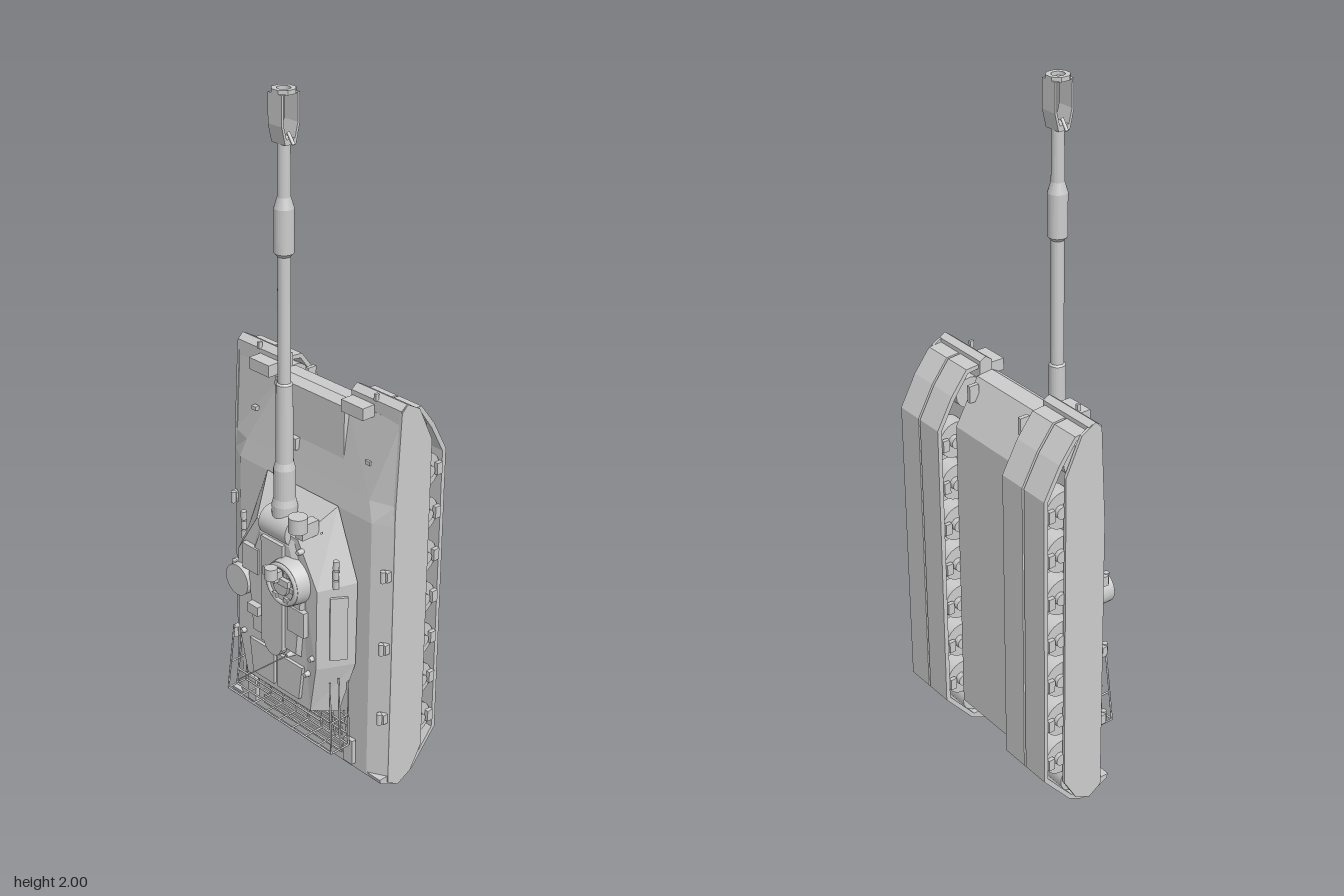
import * as THREE from 'three';

const mat = new THREE.MeshStandardMaterial({ color: 0xcccccc, side: THREE.DoubleSide });
const flat = new THREE.MeshStandardMaterial({ color: 0xcccccc, side: THREE.DoubleSide, flatShading: true });

export function createModel() {
  const root = new THREE.Group();
  const add = (name, geo, m = mat) => {
    const mesh = new THREE.Mesh(geo, m);
    mesh.name = name;
    root.add(mesh);
    return mesh;
  };
  const box = (name, x, y, z, w, h, d) => add(name, new THREE.BoxGeometry(w, h, d).translate(x, y, z));
  // Cylinder along the chosen axis
  const cyl = (name, axis, x, y, z, r0, r1, len, seg = 20) => {
    const g = new THREE.CylinderGeometry(r1, r0, len, seg);
    if (axis === 'x') g.rotateZ(-Math.PI / 2);
    if (axis === 'z') g.rotateX(Math.PI / 2);
    return add(name, g.translate(x, y, z));
  };
  // Round bar between two points
  const bar = (name, a, b, r = 0.003) =>
    add(name, new THREE.TubeGeometry(new THREE.LineCurve3(new THREE.Vector3(...a), new THREE.Vector3(...b)), 1, r, 6));
  const shapeOf = pts => new THREE.Shape(pts.map(p => new THREE.Vector2(...p)));
  // Profile of [z, y] points extruded across x
  const sideExtrude = (name, pts, x0, x1, hole) => {
    const s = shapeOf(pts);
    if (hole) s.holes.push(shapeOf(hole));
    const g = new THREE.ExtrudeGeometry(s, { depth: x1 - x0, bevelEnabled: false });
    return add(name, g.rotateY(-Math.PI / 2).translate(x1, 0, 0));
  };
  // Skin through matching convex rings, capped at both ends
  const loft = (name, rings) => {
    const n = rings[0].length, pos = rings.flat(2), idx = [];
    for (let k = 0; k + 1 < rings.length; k++)
      for (let i = 0; i < n; i++) {
        const a = k * n + i, b = k * n + (i + 1) % n;
        idx.push(a, b, b + n, a, b + n, a + n);
      }
    const e = (rings.length - 1) * n;
    for (let i = 1; i < n - 1; i++) idx.push(0, i + 1, i, e, e + i, e + i + 1);
    // keep faces outward, judged by signed volume
    const P = i => new THREE.Vector3().fromArray(pos, i * 3);
    let vol = 0;
    for (let i = 0; i < idx.length; i += 3) vol += P(idx[i]).dot(P(idx[i + 1]).cross(P(idx[i + 2])));
    if (vol < 0) idx.reverse();
    const g = new THREE.BufferGeometry();
    g.setAttribute('position', new THREE.Float32BufferAttribute(pos, 3));
    g.setIndex(idx);
    const out = g.toNonIndexed();
    out.computeVertexNormals();
    return add(name, out, flat);
  };
  const mirrorRing = half => [...half, ...half.map(([x, y, z]) => [-x, y, z]).reverse()];

  // Hull: belly between the tracks and wide upper body
  sideExtrude('lowerHull', [[-0.06, 0.04], [-0.06, 1.15], [-0.085, 1.165], [-0.135, 1.16], [-0.208, 1.03],
    [-0.208, 0.11], [-0.15, 0.04]], -0.138, 0.138);
  const deck = (y, top, zTop, zEdge) =>
    mirrorRing([[top, y, zTop], [0.325, y, zEdge], [0.325, y, -0.125], [0.1, y, -0.125]]);
  loft('upperHull', [deck(0.04, 0.27, -0.04, -0.07), deck(0.86, 0.27, -0.04, -0.07),
    deck(0.92, 0.25, -0.049, -0.073), deck(1.16, 0.12, -0.083, -0.086)]);

  for (const s of [-1, 1]) {
    const span = (name, pts, a, b, hole) => sideExtrude(name, pts, Math.min(s * a, s * b), Math.max(s * a, s * b), hole);
    // Mudguards and side skirt
    span('frontMudguard', [[-0.085, 1.15], [-0.085, 1.195], [-0.105, 1.21], [-0.125, 1.2], [-0.125, 1.15]], 0.138, 0.325);
    span('rearMudguard', [[-0.04, 0.05], [-0.045, 0.035], [-0.11, 0.004], [-0.125, 0.01], [-0.125, 0.05]], 0.132, 0.325);
    span('sideSkirt', [[-0.07, 0.03], [-0.07, 0.9], [-0.085, 1.19], [-0.105, 1.21], [-0.15, 1.185], [-0.2, 1.08],
      [-0.2, 0.1], [-0.16, 0.03], [-0.11, 0.004]], 0.319, 0.328);
    // Double track bands
    for (const [a, b] of [[0.145, 0.229], [0.236, 0.32]])
      span('track', [[-0.1, 0.02], [-0.1, 1.19], [-0.165, 1.185], [-0.215, 1.12], [-0.264, 1.03], [-0.264, 0.13],
        [-0.175, 0.025], [-0.125, 0.0]], a, b,
      [[-0.112, 0.032], [-0.112, 1.178], [-0.16, 1.172], [-0.205, 1.11], [-0.251, 1.026], [-0.251, 0.135], [-0.168, 0.036]]);
    // Running gear
    for (let i = 0; i < 7; i++) {
      const y = 0.18 + i * 0.133;
      for (const x of [0.18, 0.285]) cyl('roadWheel', 'x', s * x, y, -0.197, 0.054, 0.054, 0.05, 24);
      cyl('wheelHub', 'x', s * 0.23, y, -0.205, 0.018, 0.018, 0.185, 12);
      box('trackGuide', s * 0.2325, y + 0.02, -0.246, 0.01, 0.04, 0.02);
      box('trackGuide', s * 0.145, y, -0.24, 0.012, 0.035, 0.02);
      box('trackGuide', s * 0.318, y, -0.24, 0.012, 0.035, 0.02);
    }
    for (const [y, z] of [[1.11, -0.15], [0.09, -0.155]]) cyl('endWheel', 'x', s * 0.232, y, z, 0.045, 0.045, 0.16, 20);
    // Headlight housing, tow hooks and side lugs
    box('headlight', s * 0.186, 1.165, -0.062, 0.083, 0.035, 0.042);
    box('towHook', s * 0.112, 1.13, -0.168, 0.012, 0.05, 0.03);
    box('rearTowHook', s * 0.09, 0.035, -0.11, 0.012, 0.02, 0.03);
    for (const y of [0.25, 0.48, 0.71]) {
      box('lugBase', s * 0.312, y, -0.058, 0.024, 0.03, 0.016);
      cyl('lug', 'y', s * 0.31, y, -0.047, 0.008, 0.008, 0.035, 10);
    }
    box('fenderStud', s * 0.232, 1.205, -0.085, 0.008, 0.02, 0.012);
    box('glacisStud', s * 0.23, 1.02, -0.065, 0.018, 0.012, 0.014);
  }
  box('glacisBox', -0.067, 0.98, -0.055, 0.06, 0.035, 0.024);
  cyl('glacisLamp', 'z', -0.132, 1.13, -0.07, 0.009, 0.009, 0.025, 12);
  for (let i = 0; i < 6; i++) box('engineLouvre', 0, 0.07 + i * 0.02, -0.039, 0.34, 0.008, 0.006);

  // Turret with sloped cheeks and tapering bustle
  cyl('turretRing', 'z', 0, 0.58, -0.038, 0.19, 0.19, 0.02, 40);
  loft('turret', [
    mirrorRing([[0.145, 0.865, -0.035], [0.226, 0.66, -0.035], [0.226, 0.4, -0.032], [0.185, 0.23, -0.01]]),
    mirrorRing([[0.085, 0.77, 0.058], [0.165, 0.64, 0.06], [0.165, 0.39, 0.062], [0.135, 0.235, 0.055]])]);
  loft('roofPlate', [
    mirrorRing([[0.07, 0.76, 0.058], [0.12, 0.62, 0.058], [0.1, 0.4, 0.058]]),
    mirrorRing([[0.06, 0.74, 0.068], [0.11, 0.61, 0.07], [0.09, 0.41, 0.07]])]);
  for (const s of [-1, 1]) {
    const hatch = shapeOf([[0.008, 0.26], [0.098, 0.26], [0.112, 0.37], [0.008, 0.37]].map(([x, y]) => [s * x, y]));
    add('bustlePanel', new THREE.ExtrudeGeometry(hatch, { depth: 0.012, bevelEnabled: false }).translate(0, 0, 0.054));
    const rack = box('sideRack', s * 0.2, 0.52, 0.01, 0.012, 0.2, 0.05);
    rack.geometry.translate(-s * 0.2, 0, -0.01).rotateY(-s * 0.57).translate(s * 0.2, 0, 0.01);
    for (let i = 0; i < 3; i++) cyl('smokeTube', 'y', s * 0.192, 0.66 + i * 0.03, 0.015, 0.009, 0.009, 0.026, 10);
  }
  // Gun channel along the roof, with its round rear end
  box('roofSpine', 0, 0.57, 0.065, 0.088, 0.34, 0.03);
  cyl('spineEnd', 'z', 0, 0.405, 0.06, 0.04, 0.036, 0.036);
  cyl('mantlet', 'x', 0, 0.775, 0.034, 0.045, 0.045, 0.11, 28);
  box('mantletBlock', 0, 0.76, 0.02, 0.11, 0.09, 0.06);

  // Cupola and weapon mount
  cyl('cupola', 'z', 0.068, 0.64, 0.08, 0.072, 0.066, 0.044, 32);
  add('cupolaRim', new THREE.TorusGeometry(0.057, 0.008, 8, 32).translate(0.068, 0.64, 0.101));
  cyl('cupolaHatch', 'z', 0.068, 0.64, 0.104, 0.034, 0.03, 0.01, 24);
  for (let i = 0; i < 6; i++) {
    const a = i * Math.PI / 3;
    box('periscope', 0.068 + 0.046 * Math.cos(a), 0.64 + 0.046 * Math.sin(a), 0.104, 0.016, 0.014, 0.012);
  }
  box('mountBase', 0.067, 0.66, 0.113, 0.088, 0.02, 0.014);
  box('mountStem', 0.067, 0.675, 0.123, 0.022, 0.03, 0.03);
  cyl('mountSight', 'y', 0.067, 0.69, 0.14, 0.018, 0.018, 0.035, 18);
  box('mountBox', 0.046, 0.69, 0.138, 0.016, 0.025, 0.016);

  // Roof fittings
  cyl('storageDrum', 'z', -0.15, 0.55, 0.042, 0.048, 0.048, 0.076, 32);
  box('sensorBox', -0.072, 0.49, 0.077, 0.045, 0.03, 0.026);
  box('loaderHatch', 0.096, 0.52, 0.066, 0.066, 0.08, 0.02);
  box('gunnerHatch', -0.098, 0.64, 0.066, 0.066, 0.08, 0.018);
  cyl('sightHead', 'y', 0.112, 0.84, 0.082, 0.027, 0.027, 0.045, 24);
  box('sightStem', 0.108, 0.81, 0.045, 0.03, 0.045, 0.06);
  bar('sightRod', [0.14, 0.8, 0.02], [0.18, 0.83, 0.06]);
  for (const [x, y] of [[-0.08, 0.49], [0.15, 0.42], [-0.14, 0.38], [0.13, 0.36], [0.1, 0.74]])
    cyl('roofStud', 'z', x, y, 0.064, 0.009, 0.007, 0.02, 10);
  cyl('antennaBase', 'z', 0.068, 0.4, 0.07, 0.01, 0.006, 0.03, 12);
  cyl('antenna', 'z', 0.068, 0.4, 0.16, 0.0025, 0.0015, 0.205, 6);

  // Rear stowage basket
  for (const z of [-0.012, 0.022, 0.056]) {
    bar('basketRail', [-0.225, 0.135, z], [0.225, 0.135, z]);
    for (const s of [-1, 1]) bar('basketSide', [s * 0.225, 0.135, z], [s * 0.205, 0.36, z - 0.01]);
  }
  for (const y of [0.17, 0.2, 0.23]) bar('basketFloorBar', [-0.22, y, -0.012], [0.22, y, -0.012]);
  bar('basketTopRail', [-0.18, 0.225, 0.056], [0.18, 0.225, 0.056]);
  for (let i = 0; i <= 8; i++) {
    const x = -0.225 + i * 0.05625;
    bar('basketPost', [x, 0.135, -0.012], [x, 0.135, 0.056]);
    bar('basketFloorRib', [x, 0.135, -0.012], [x * 0.9, 0.24, -0.012]);
  }
  for (const s of [-1, 1]) {
    box('basketBracket', s * 0.21, 0.1, -0.03, 0.035, 0.08, 0.014);
    bar('basketSidePost', [s * 0.215, 0.23, -0.016], [s * 0.215, 0.23, 0.05]);
  }

  // Gun barrel
  const barrel = [[0.036, 0.8], [0.036, 0.84], [0.031, 0.86], [0.031, 0.95], [0.025, 0.97], [0.023, 1.2], [0.018, 1.205],
    [0.018, 1.56], [0.027, 1.57], [0.027, 1.69], [0.018, 1.72], [0.017, 1.87], [0.01, 1.87], [0.01, 1.6]];
  const lathe = new THREE.LatheGeometry(barrel.map(p => new THREE.Vector2(...p)), 24);
  add('gunBarrel', lathe.toNonIndexed().translate(0, 0, 0.03)).geometry.computeVertexNormals();
  // Muzzle brake open to both sides, with a bored end plate
  sideExtrude('muzzleBrake', [[0.012, 1.86], [0.048, 1.86], [0.06, 1.91], [0.06, 1.99], [0, 1.99], [0, 1.91]], -0.026, 0.026,
    [[0.016, 1.875], [0.044, 1.875], [0.054, 1.914], [0.054, 1.988], [0.006, 1.988], [0.006, 1.914]]);
  const plate = shapeOf(Array.from({ length: 8 }, (_, i) => {
    const a = (i + 0.5) * Math.PI / 4;
    return [0.033 * Math.cos(a), 0.033 * Math.sin(a)];
  }));
  plate.holes.push(new THREE.Path().absarc(0, 0, 0.018, 0, Math.PI * 2, true));
  add('muzzlePlate', new THREE.ExtrudeGeometry(plate, { depth: 0.012, bevelEnabled: false })
    .rotateX(-Math.PI / 2).translate(0, 1.988, 0.03));
  for (const s of [-1, 1]) bar('muzzleFin', [s * 0.016, 1.89, 0.03], [s * 0.037, 1.862, 0.03], 0.005);
  return root;
}
